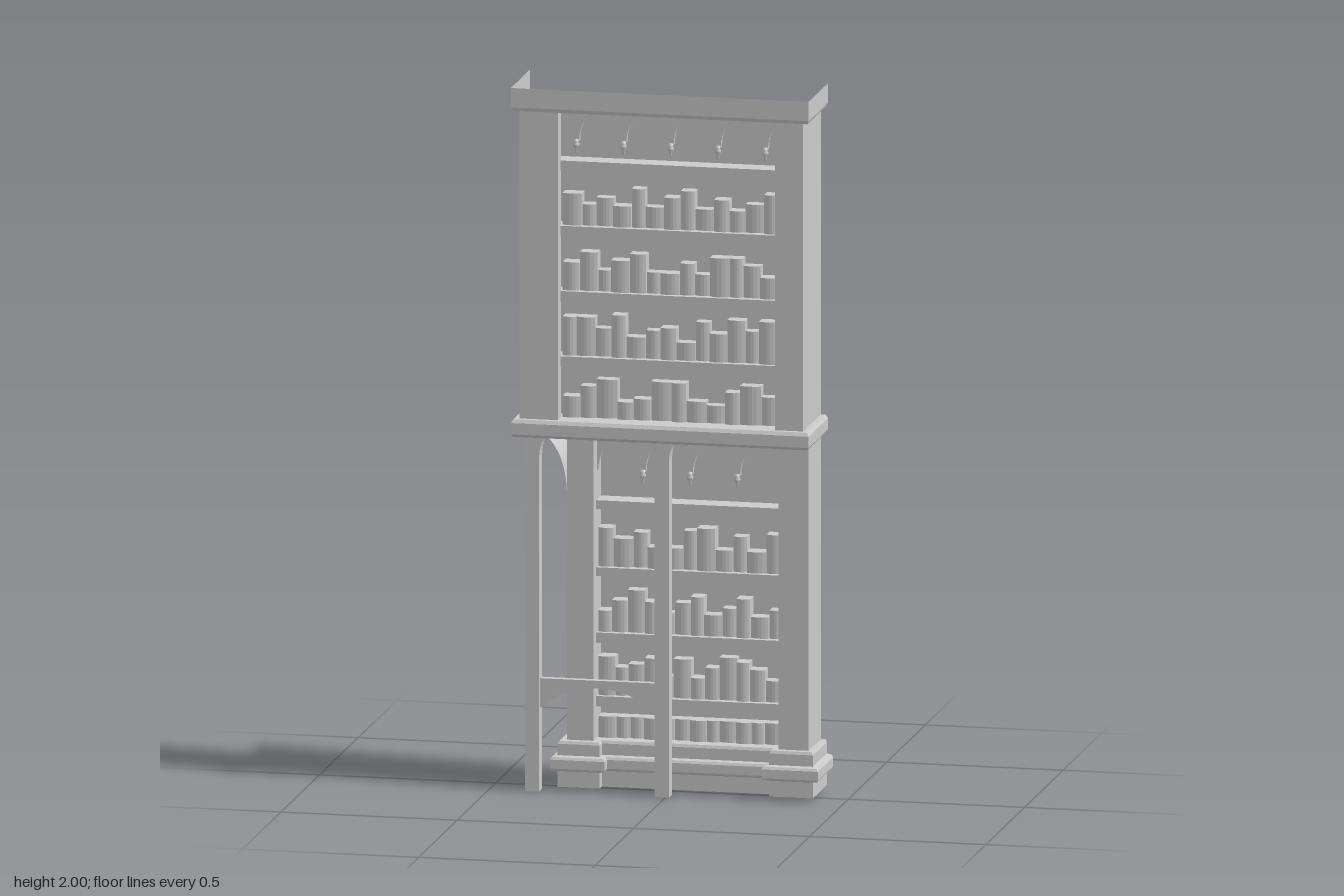
import * as THREE from 'three';

const grey = new THREE.MeshStandardMaterial({ color: 0xcccccc, side: THREE.DoubleSide });

export function createModel() {
  const model = new THREE.Group();

  function add(name, geometry, parent = model) {
    const mesh = new THREE.Mesh(geometry, grey);
    mesh.name = name;
    parent.add(mesh);
    return mesh;
  }

  function box(name, x0, x1, y0, y1, z0, z1, parent) {
    const g = new THREE.BoxGeometry(x1 - x0, y1 - y0, z1 - z0);
    g.translate((x0 + x1) / 2, (y0 + y1) / 2, (z0 + z1) / 2);
    return add(name, g, parent);
  }

  // Open-fronted compartment: a box without its +z face
  function niche(name, x0, x1, y0, y1, z0, z1, parent) {
    const mesh = box(name, x0, x1, y0, y1, z0, z1, parent);
    const index = Array.from(mesh.geometry.index.array);
    index.splice(24, 6);
    mesh.geometry.setIndex(index);
    mesh.geometry.clearGroups();
  }

  // Surface from a grid of points, rows[i][j] = [x, y, z]
  function grid(rows) {
    const pos = [];
    for (let i = 0; i < rows.length - 1; i++) {
      for (let j = 0; j < rows[i].length - 1; j++) {
        const [a, b, c, d] = [rows[i][j], rows[i + 1][j], rows[i + 1][j + 1], rows[i][j + 1]];
        pos.push(...a, ...b, ...c, ...a, ...c, ...d);
      }
    }
    const g = new THREE.BufferGeometry();
    g.setAttribute('position', new THREE.Float32BufferAttribute(pos, 3));
    g.computeVertexNormals();
    return g;
  }

  // Moulding profile [outward offset, y] carried along a right-angled plan path [x, z]
  function sweep(name, path, profile) {
    const normals = path.slice(1).map(([x, z], i) => {
      const dx = x - path[i][0], dz = z - path[i][1], l = Math.hypot(dx, dz);
      return [-dz / l, dx / l];
    });
    const rows = path.map(([x, z], i) => {
      const a = normals[i - 1] || [0, 0], b = normals[i] || [0, 0];
      return profile.map(([o, y]) => [x + o * (a[0] + b[0]), y, z + o * (a[1] + b[1])]);
    });
    return add(name, grid(rows));
  }

  const wall = (name, path, y0, y1) => sweep(name, path, [[0, y0], [0, y1]]);
  const strip = (pts, z0, z1) => grid(pts.map(([x, y]) => [[x, y, z0], [x, y, z1]]));
  const shapeOf = pts => new THREE.Shape(pts.map(([x, y]) => new THREE.Vector2(x, y)));

  // Row of arches with hanging pendants
  function arcade(name, firstPendant, xMin, xMax, spring, rise, top, floor, zBack, zFront) {
    const group = new THREE.Group();
    group.name = name;
    model.add(group);
    const pitch = 0.134, radius = 0.059;
    let pts = [];
    for (let c = firstPendant - pitch / 2; c < xMax + pitch / 2; c += pitch) {
      for (let k = 0; k <= 16; k++) {
        const t = Math.PI * (1 - k / 16);
        pts.push([c + radius * Math.cos(t), spring + rise * Math.sin(t)]);
      }
    }
    pts = pts.filter(p => p[0] > xMin && p[0] < xMax);
    pts.unshift([xMin, pts[0][1]]);
    pts.push([xMax, pts[pts.length - 1][1]]);
    const face = new THREE.ShapeGeometry(shapeOf([...pts, [xMax, top], [xMin, top]]));
    add('archFront', face.translate(0, 0, zFront), group);
    add('archReveal', strip(pts, zBack, zFront), group);
    if (floor !== null) {
      const back = new THREE.ShapeGeometry(shapeOf([...pts, [xMax, floor], [xMin, floor]]));
      add('archBacking', back.translate(0, 0, zBack), group);
    }
    const drop = [[0, -0.035], [0.004, -0.03], [0.003, -0.022], [0.009, -0.014], [0.009, -0.008], [0.006, -0.004], [0.008, 0.004], [0, 0.006]];
    const lathe = new THREE.LatheGeometry(drop.map(p => new THREE.Vector2(...p)), 10);
    for (let x = firstPendant; x < xMax - 0.01; x += pitch) {
      add('pendant', lathe, group).position.set(x, spring, zFront);
    }
  }

  // Books with gently rounded spines; heights in hundredths
  function books(name, heights, x0, x1, y, zBack, zFront) {
    const group = new THREE.Group();
    group.name = name;
    model.add(group);
    const widths = heights.map((h, i) => 1 + 0.18 * Math.sin(i * 2.3 + y * 9));
    const scale = (x1 - x0) / widths.reduce((a, b) => a + b);
    let x = x0;
    heights.forEach((h, i) => {
      const w = widths[i] * scale - 0.001;
      const d = zFront - zBack - (i % 3) * 0.004;
      const s = new THREE.Shape();
      s.moveTo(0, 0);
      s.lineTo(w, 0);
      s.lineTo(w, -d + 0.006);
      s.quadraticCurveTo(w / 2, -d - 0.006, 0, -d + 0.006);
      const g = new THREE.ExtrudeGeometry(s, { depth: h / 100, bevelEnabled: false, curveSegments: 5 });
      add('book', g.rotateX(-Math.PI / 2).translate(x, y, zBack), group);
      x += widths[i] * scale;
    });
  }

  // Shelf compartments with lipped shelf edges; levels are [shelf top, underside of next shelf]
  function bays(name, levels, x0, x1, zBack, zFront) {
    levels.forEach(([y0, y1], i) => {
      niche(name + 'Compartment', x0, x1, y0, y1, zBack, zFront);
      if (i) box(name + 'ShelfEdge', x0, x1, levels[i - 1][1], y0, zFront - 0.004, zFront + 0.01);
    });
  }

  // Upper case: pilasters, cornice and ledge
  wall('upperRightPilaster', [[-0.41, -0.125], [-0.41, 0.105], [-0.3, 0.105], [-0.3, 0.065], [-0.33, 0.065]], 1.055, 1.94);
  wall('upperLeftPilaster', [[0.33, 0.065], [0.315, 0.065], [0.315, 0.105], [0.395, 0.105], [0.395, -0.125]], 1.055, 1.94);
  const outline = [[-0.41, -0.125], [-0.41, 0.105], [0.395, 0.105], [0.395, -0.125]];
  sweep('cornice', outline, [[0, 1.935], [0.016, 1.935], [0.02, 1.945], [0.02, 2]]);
  sweep('ledge', outline, [[0, 1.01], [0.014, 1.01], [0.02, 1.018], [0.02, 1.05], [0.014, 1.06], [0, 1.06]]);
  box('upperCeiling', -0.33, 0.33, 1.933, 1.937, 0.03, 0.105);
  box('ledgeTop', -0.33, 0.33, 1.056, 1.06, 0.015, 0.106);
  box('ledgeUndersideFront', -0.41, 0.395, 1.008, 1.012, 0.035, 0.106);
  box('ledgeUndersideSide', -0.41, -0.36, 1.008, 1.012, -0.125, 0.035);

  // Upper shelves, arches and books
  bays('upper', [[1.06, 1.205], [1.235, 1.39], [1.42, 1.575], [1.605, 1.76]], -0.33, 0.33, 0.015, 0.065);
  box('upperTopShelf', -0.33, 0.33, 1.76, 1.79, 0.015, 0.075);
  for (const s of [-0.33, 0.33]) box('archBaySide', s - 0.001, s + 0.001, 1.79, 1.935, 0.015, 0.065);
  arcade('upperArches', -0.265, -0.33, 0.33, 1.838, 0.09, 1.937, 1.79, 0.015, 0.03);
  books('upperBooks1', [9, 6, 8, 6, 11, 6, 9, 11, 6, 9, 6, 8, 11], -0.298, 0.313, 1.605, 0.018, 0.063);
  books('upperBooks2', [8, 11, 6, 9, 11, 6, 6, 9, 6, 11, 11, 9, 6], -0.298, 0.313, 1.42, 0.018, 0.063);
  books('upperBooks3', [11, 11, 8, 12, 6, 8, 9, 5, 11, 8, 12, 9, 12], -0.298, 0.313, 1.235, 0.018, 0.063);
  books('upperBooks4', [6, 9, 11, 5, 6, 11, 11, 6, 5, 9, 11, 8], -0.298, 0.313, 1.06, 0.018, 0.063);

  // Lower case: columns, roof and the curved bracket beside the open end
  wall('lowerRightColumnFront', [[-0.29, 0.035], [-0.215, 0.035], [-0.215, -0.01]], 0.13, 1.01);
  wall('lowerRightColumnSide', [[-0.29, -0.125], [-0.29, 0.035]], 0.13, 0.82);
  wall('lowerLeftColumn', [[0.31, -0.01], [0.31, 0.035], [0.395, 0.035], [0.395, -0.125]], 0.13, 1.01);
  const bracket = new THREE.QuadraticBezierCurve(new THREE.Vector2(-0.29, 0.82), new THREE.Vector2(-0.29, 0.965), new THREE.Vector2(-0.365, 1.01));
  add('curvedBracket', strip(bracket.getPoints(12).map(p => [p.x, p.y]), -0.125, 0.035));
  box('lowerCeiling', -0.215, 0.31, 1.004, 1.008, -0.01, 0.04);

  // Lower shelves, arches and books
  bays('lower', [[0.14, 0.23], [0.26, 0.41], [0.44, 0.6], [0.625, 0.79], [0.815, 1.006]], -0.215, 0.31, -0.065, -0.01);
  arcade('lowerArches', -0.085, -0.215, 0.31, 0.9, 0.09, 1.005, null, -0.025, -0.01);
  books('lowerBooks1', [11, 8, 10, 6, 6, 11, 12, 6, 10, 6, 11], -0.213, 0.308, 0.625, -0.062, -0.012);
  books('lowerBooks2', [6, 9, 12, 9, 6, 9, 11, 6, 8, 11, 6, 8], -0.213, 0.308, 0.44, -0.062, -0.012);
  books('lowerBooks3', [11, 8, 9, 11, 6, 11, 6, 9, 12, 11, 9, 6], -0.213, 0.308, 0.26, -0.062, -0.012);
  books('lowerBooks4', [6, 6, 6, 6, 6, 6, 6, 6, 6, 6, 6, 6], -0.213, 0.308, 0.14, -0.062, -0.012);

  // Stepped plinth breaking forward under each column
  const plinth = [[-0.29, -0.125], [-0.29, 0.035], [-0.215, 0.035], [-0.215, 0.005], [0.31, 0.005], [0.31, 0.035], [0.39, 0.035], [0.39, -0.125]];
  sweep('plinth', plinth, [
    [0.022, 0.01], [0.022, 0.055], [0.038, 0.06], [0.04, 0.065], [0.04, 0.09], [0.036, 0.097],
    [0.022, 0.1], [0.022, 0.132], [0.018, 0.14], [-0.015, 0.14]
  ]);

  // Front posts with flared heads
  for (const x of [-0.378, -0.01]) {
    const s = new THREE.Shape();
    s.moveTo(-0.02, 0);
    s.lineTo(0.02, 0);
    s.lineTo(0.02, 0.95);
    s.quadraticCurveTo(0.022, 0.995, 0.04, 1.01);
    s.lineTo(-0.04, 1.01);
    s.quadraticCurveTo(-0.022, 0.995, -0.02, 0.95);
    const g = new THREE.ExtrudeGeometry(s, { depth: 0.04, bevelEnabled: false, curveSegments: 6 });
    add('post', g.translate(x, 0, 0.047));
  }

  // Arched rail between the posts
  const rail = new THREE.Shape();
  rail.moveTo(-0.36, 0.32);
  rail.lineTo(-0.36, 0.235);
  rail.lineTo(-0.35, 0.24);
  rail.quadraticCurveTo(-0.29, 0.298, -0.195, 0.298);
  rail.quadraticCurveTo(-0.1, 0.298, -0.04, 0.24);
  rail.lineTo(-0.028, 0.235);
  rail.lineTo(-0.028, 0.32);
  add('archedRail', new THREE.ExtrudeGeometry(rail, { depth: 0.02, bevelEnabled: false, curveSegments: 10 }).translate(0, 0, 0.057));

  return model;
}
